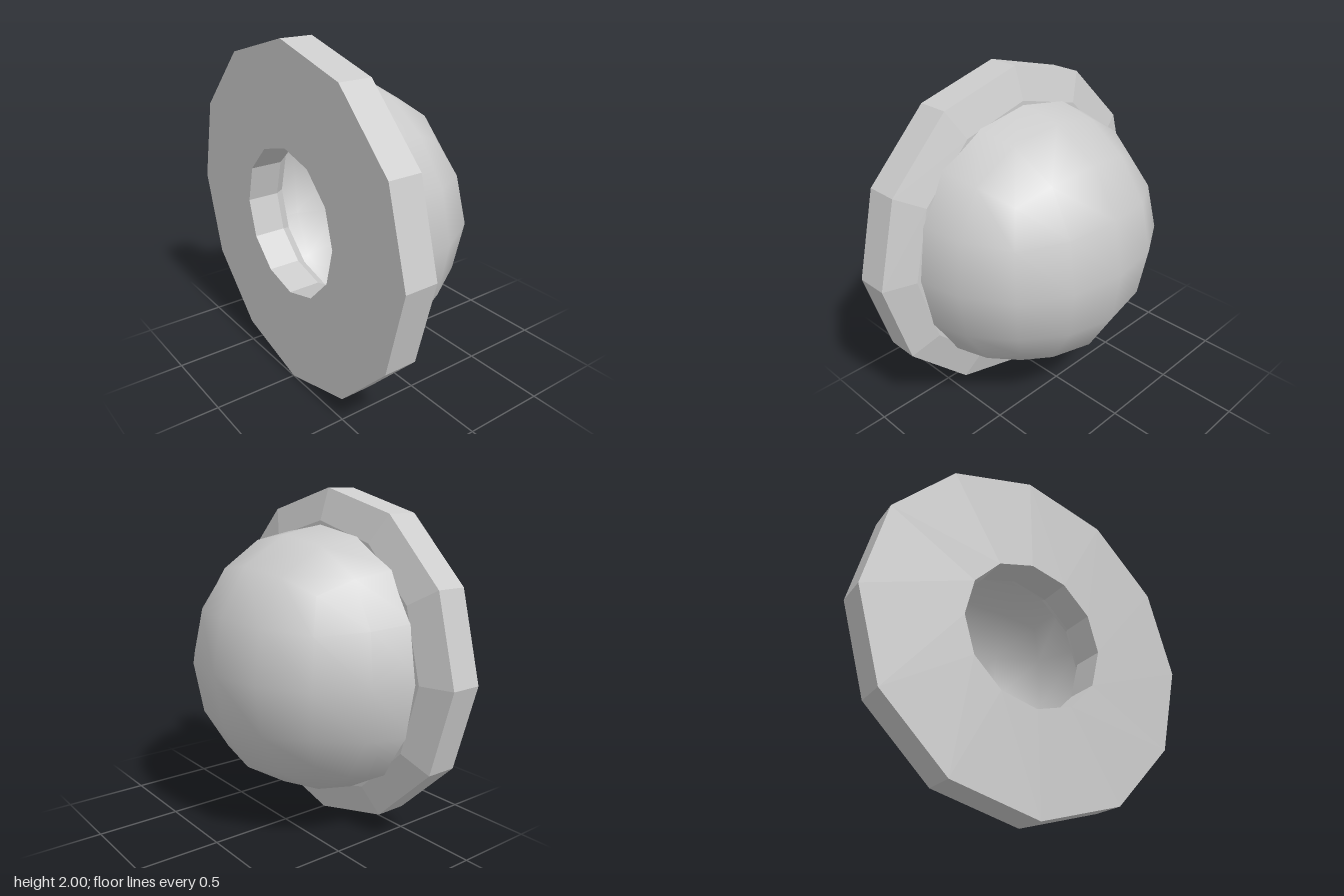
import * as THREE from 'three';
import { mergeGeometries, mergeVertices } from 'three/addons/utils/BufferGeometryUtils.js';

// One eighth of a rounded-cube face, as [outward, u, v] for grid steps i >= j from its centre
const NODES = {
  '00': [0.8785, 0, 0], '10': [0.8194, 0.3505, 0], '11': [0.764, 0.326, 0.326],
  '20': [0.643, 0.643, 0], '21': [0.599, 0.599, 0.302], '22': [0.509, 0.509, 0.509],
};
const DOME_SCALE = 0.911;

function node(i, j) {
  const a = Math.abs(i), b = Math.abs(j);
  const [n, p, q] = NODES[`${Math.max(a, b)}${Math.min(a, b)}`];
  const u = a >= b ? p : q, v = a >= b ? q : p;
  return [n, Math.sign(i) * u, Math.sign(j) * v].map((c) => c * DOME_SCALE);
}

// Grid patch of a face; jMin = 0 keeps only the half with v >= 0
function facePatch(jMin, place) {
  const pos = [], index = [], rows = 3 - jMin;
  for (let i = -2; i <= 2; i++) {
    for (let j = jMin; j <= 2; j++) pos.push(...place(node(i, j)));
  }
  for (let i = 0; i < 4; i++) {
    for (let j = 0; j < rows - 1; j++) {
      const a = i * rows + j, b = a + rows;
      index.push(a, b, b + 1, a, b + 1, a + 1);
    }
  }
  const geo = new THREE.BufferGeometry();
  geo.setAttribute('position', new THREE.Float32BufferAttribute(pos, 3));
  geo.setIndex(index);
  return geo;
}

export function createModel() {
  const group = new THREE.Group();

  // Twelve-sided base ring with a bevelled front and a central hole
  const profile = [
    [0.43, -0.5], [1, -0.5], [1, -0.31], [0.815, -0.252], [0.47, -0.252], [0.43, -0.31], [0.43, -0.5],
  ].map(([r, x]) => new THREE.Vector2(r, x));
  const ringGeo = new THREE.LatheGeometry(profile, 12).rotateZ(-Math.PI / 2);
  const ring = new THREE.Mesh(ringGeo, new THREE.MeshStandardMaterial({ color: 0xcccccc, flatShading: true }));
  ring.name = 'baseRing';
  ring.position.y = 1;
  group.add(ring);

  // Smooth hollow dome: one full end face and four half side faces
  const patches = [facePatch(-2, (p) => p)];
  for (let k = 0; k < 4; k++) {
    patches.push(facePatch(0, ([n, u, v]) => [v, n, u]).rotateX((k * Math.PI) / 2));
  }
  const domeGeo = mergeVertices(mergeGeometries(patches), 1e-3);
  domeGeo.computeVertexNormals();
  const dome = new THREE.Mesh(domeGeo, new THREE.MeshStandardMaterial({ color: 0xcccccc, side: THREE.DoubleSide }));
  dome.name = 'dome';
  dome.position.set(-0.31, 1, 0);
  group.add(dome);

  return group;
}
